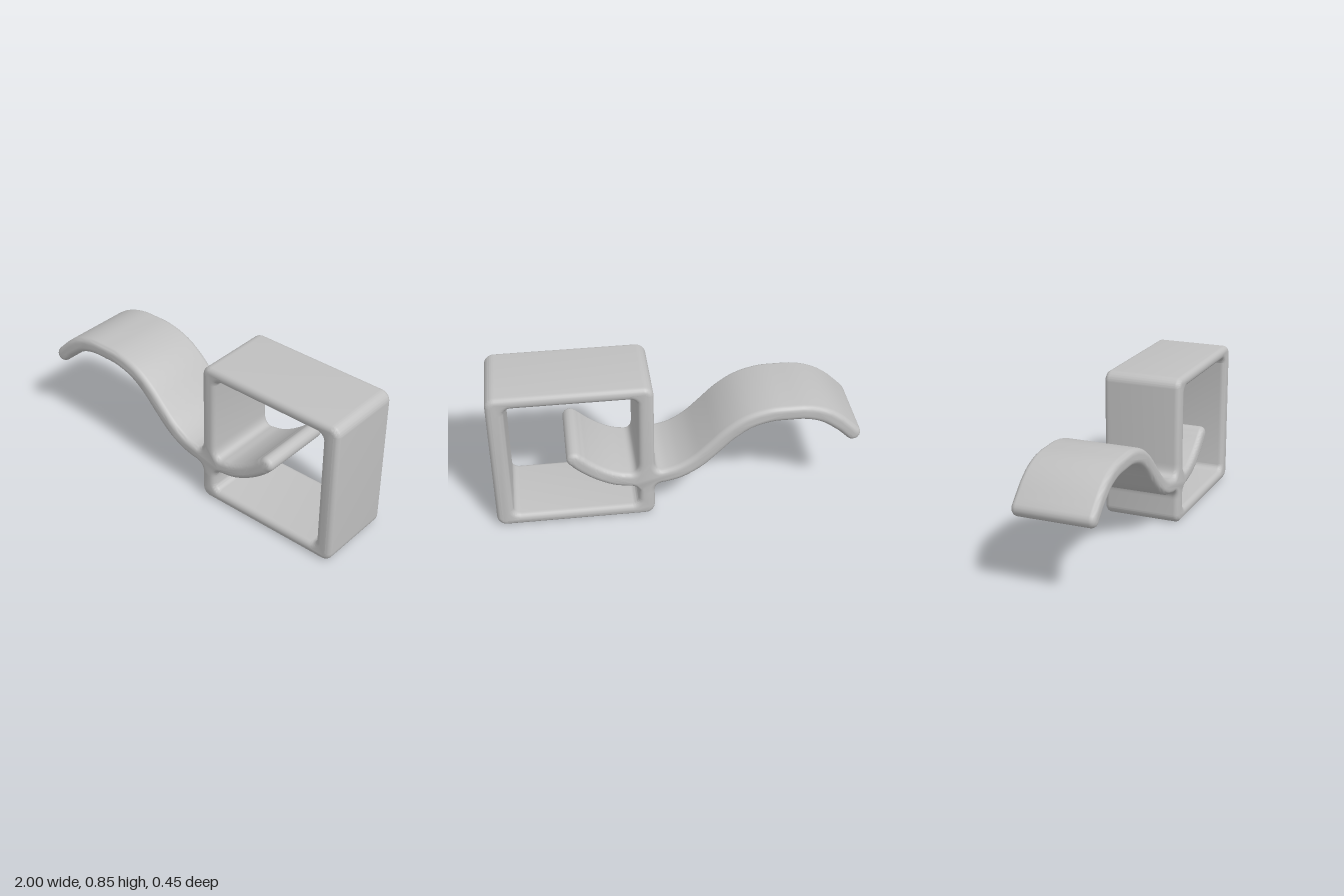
import * as THREE from 'three';
import { toCreasedNormals } from 'three/addons/utils/BufferGeometryUtils.js';

const HALF = 0.044; // half the thickness of the curved blade
const DEPTH = 0.45;
const BEVEL = 0.03;

// Outline of a blade along a centre line, root to tip: right side, round tip, left side
function bladeOutline(centre) {
  const curve = new THREE.CatmullRomCurve3(centre.map(([x, y]) => new THREE.Vector3(x, y, 0)));
  const right = [], left = [], tip = [];
  const n = 32;
  for (let i = 0; i <= n; i++) {
    const p = curve.getPointAt(i / n), t = curve.getTangentAt(i / n);
    const r = HALF * (i > n - 3 ? 0.95 : 1);
    right.push([p.x + t.y * r, p.y - t.x * r]);
    left.unshift([p.x - t.y * r, p.y + t.x * r]);
    if (i === n) {
      const a0 = Math.atan2(-t.x, t.y);
      for (let k = 1; k < 8; k++) {
        const a = a0 + (Math.PI * k) / 8;
        tip.push([p.x + Math.cos(a) * r, p.y + Math.sin(a) * r]);
      }
    }
  }
  return [...right, ...tip, ...left];
}

// Adds a blade to a path, with fillets where it meets the wall at wallX
function addBlade(path, wallX, yFrom, yTo, outline) {
  const first = outline[0], last = outline[outline.length - 1];
  path.lineTo(wallX, yFrom);
  path.quadraticCurveTo(wallX, first[1], first[0], first[1]);
  outline.slice(1).forEach(([x, y]) => path.lineTo(x, y));
  path.quadraticCurveTo(wallX, last[1], wallX, yTo);
}

export function createModel() {
  const group = new THREE.Group();
  group.name = 'frameWithWave';
  const grey = new THREE.MeshStandardMaterial({ color: 0xc0c0c0 });
  grey.name = 'light grey';

  // Outer edge: square frame with the long wave leaving its side
  const x0 = 0.13, x1 = 1, y0 = 0, y1 = 0.846, r = 0.055;
  const shape = new THREE.Shape();
  shape.moveTo(x0 + r, y0);
  shape.lineTo(x1 - r, y0);
  shape.absarc(x1 - r, y0 + r, r, -Math.PI / 2, 0);
  shape.lineTo(x1, y1 - r);
  shape.absarc(x1 - r, y1 - r, r, 0, Math.PI / 2);
  shape.lineTo(x0 + r, y1);
  shape.absarc(x0 + r, y1 - r, r, Math.PI / 2, Math.PI);
  addBlade(shape, x0, 0.36, 0.15, bladeOutline([
    [0.08, 0.252], [0, 0.272], [-0.1, 0.33], [-0.19, 0.415], [-0.28, 0.505], [-0.38, 0.573],
    [-0.5, 0.608], [-0.6, 0.611], [-0.7, 0.607], [-0.8, 0.575], [-0.89, 0.51], [-0.957, 0.445],
  ]));
  shape.lineTo(x0, y0 + r);
  shape.absarc(x0 + r, y0 + r, r, Math.PI, Math.PI * 1.5);

  // Opening, which runs around the short end of the wave
  const a0 = 0.218, a1 = 0.906, b0 = 0.068, b1 = 0.78, q = 0.04;
  const hole = new THREE.Path();
  hole.moveTo(a0, 0.36);
  hole.lineTo(a0, b1 - q);
  hole.absarc(a0 + q, b1 - q, q, Math.PI, Math.PI / 2, true);
  hole.lineTo(a1 - q, b1);
  hole.absarc(a1 - q, b1 - q, q, Math.PI / 2, 0, true);
  hole.lineTo(a1, b0 + q);
  hole.absarc(a1 - q, b0 + q, q, 0, -Math.PI / 2, true);
  hole.lineTo(a0 + q, b0);
  hole.absarc(a0 + q, b0 + q, q, -Math.PI / 2, -Math.PI, true);
  addBlade(hole, a0, 0.145, 0.36, bladeOutline([
    [0.27, 0.244], [0.34, 0.259], [0.42, 0.297], [0.5, 0.354], [0.56, 0.41],
  ]));
  shape.holes.push(hole);

  // One soft-edged band extruded along z
  const geometry = new THREE.ExtrudeGeometry(shape, {
    depth: DEPTH - 2 * BEVEL, steps: 1, curveSegments: 8,
    bevelEnabled: true, bevelThickness: BEVEL, bevelSize: BEVEL, bevelOffset: -BEVEL, bevelSegments: 5,
  });
  geometry.translate(0, 0, -DEPTH / 2 + BEVEL);
  const body = new THREE.Mesh(toCreasedNormals(geometry, 0.75), grey);
  body.name = 'frameAndWave';
  group.add(body);
  return group;
}
